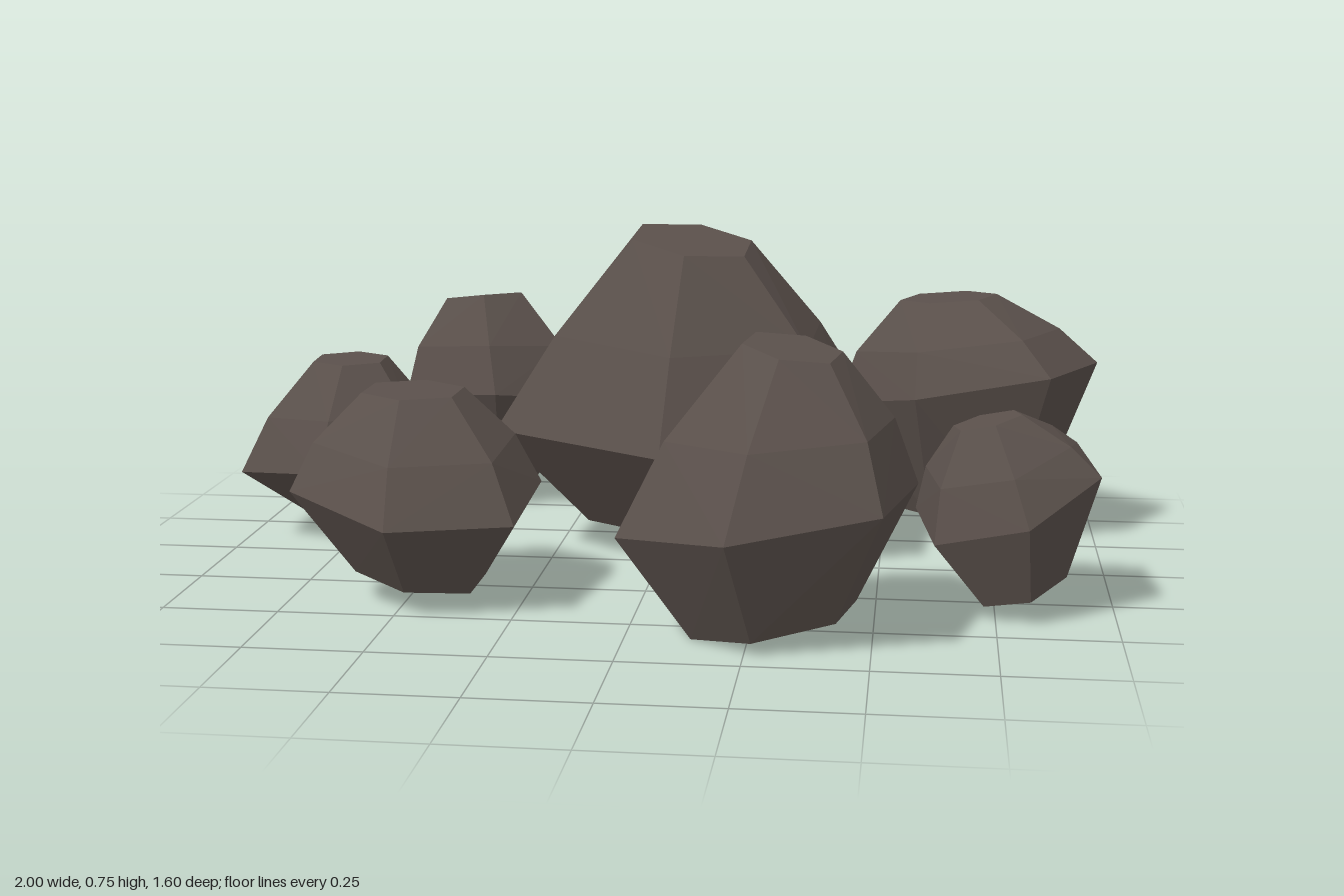
import * as THREE from 'three';
import { ConvexGeometry } from 'three/addons/geometries/ConvexGeometry.js';

// A tilted six-sided ring, spanned by two neighbouring corners a and b
function ring([x, y, z], scale, [ax, az], [bx, bz], [slopeX, slopeZ]) {
  const half = [[ax, az], [bx, bz], [bx - ax, bz - az]];
  return [...half, ...half.map(([dx, dz]) => [-dx, -dz])].map(([dx, dz]) => {
    const sx = dx * scale, sz = dz * scale;
    return new THREE.Vector3(x + sx, y + sx * slopeX + sz * slopeZ, z + sz);
  });
}

// centre: middle of the widest ring. a, b: two of its corners, from the centre
// top, base: middle of the upper and lower facets
// bulge: how far the shoulder ring swells outwards
function makeRock({ centre, a, b, tilt, top, topTilt, topScale = 0.37,
  base, baseTilt = tilt, baseScale, bulge = 1.14 }) {
  const middle = ring(centre, 1, a, b, tilt);
  const crown = ring(top, topScale, a, b, topTilt);
  const foot = ring(base, baseScale, a, b, baseTilt);
  // shoulder halfway between the widest ring and the upper facet
  const axisX = (centre[0] + top[0]) / 2, axisZ = (centre[2] + top[2]) / 2;
  const shoulder = middle.map((p, i) => {
    const q = p.clone().lerp(crown[i], 0.5);
    q.x = axisX + (q.x - axisX) * bulge;
    q.z = axisZ + (q.z - axisZ) * bulge;
    return q;
  });
  return new ConvexGeometry([...foot, ...middle, ...shoulder, ...crown]);
}

export function createModel() {
  const group = new THREE.Group();
  group.name = 'rockCluster';
  const stone = new THREE.MeshStandardMaterial({ color: 0x5a504b });
  stone.name = 'darkStone';

  const addRock = (name, shape) => {
    const mesh = new THREE.Mesh(makeRock(shape), stone);
    mesh.name = name;
    group.add(mesh);
  };

  // Large rock in the middle
  addRock('largeCentreRock', {
    centre: [0.045, 0.31, -0.167], a: [-0.4, -0.22], b: [0.02, -0.4], tilt: [0, -0.05],
    top: [0.06, 0.725, -0.13], topTilt: [-0.12, -0.18], topScale: 0.31,
    base: [0.045, 0.08, -0.16], baseScale: 0.52, bulge: 1.07,
  });

  // Front rocks
  addRock('frontLeftRock', {
    centre: [0.285, 0.26, 0.532], a: [-0.235, -0.18], b: [0.065, -0.265], tilt: [0.15, 0],
    top: [0.33, 0.59, 0.51], topTilt: [-0.15, -0.15], topScale: 0.33,
    base: [0.3, 0.034, 0.54], baseTilt: [0.2, 0], baseScale: 0.55,
  });
  addRock('frontRightRock', {
    centre: [-0.475, 0.25, 0.37], a: [-0.235, -0.14], b: [0.018, -0.23], tilt: [-0.08, -0.2],
    top: [-0.49, 0.45, 0.325], topTilt: [0, -0.05], topScale: 0.41,
    base: [-0.47, 0.06, 0.37], baseTilt: [-0.12, -0.1], baseScale: 0.52,
  });

  // Small rocks at the sides
  addRock('smallRightRock', {
    centre: [-0.785, 0.19, -0.17], a: [-0.215, -0.1], b: [0, -0.21], tilt: [0.1, 0],
    top: [-0.76, 0.425, -0.175], topTilt: [0, -0.05],
    base: [-0.74, 0.052, -0.18], baseTilt: [0.25, 0], baseScale: 0.38,
  });
  addRock('smallLeftRock', {
    centre: [0.77, 0.25, 0.278], a: [-0.19, -0.06], b: [-0.04, -0.19], tilt: [0.35, -0.25],
    top: [0.725, 0.405, 0.28], topTilt: [0.25, 0],
    base: [0.8, 0.07, 0.32], baseTilt: [0.3, -0.25], baseScale: 0.5,
  });

  // Back rocks
  addRock('backRightRock', {
    centre: [-0.49, 0.26, -0.58], a: [-0.24, -0.08], b: [-0.04, -0.22], tilt: [0, 0.22],
    top: [-0.52, 0.52, -0.59], topTilt: [0.1, 0.15], topScale: 0.42,
    base: [-0.48, 0.06, -0.56], baseScale: 0.42,
  });
  addRock('backLeftRock', {
    centre: [0.692, 0.36, -0.39], a: [-0.307, 0.005], b: [-0.187, -0.225], tilt: [0.18, 0.09],
    top: [0.645, 0.565, -0.4], topTilt: [0.08, 0],
    base: [0.685, 0.06, -0.4], baseTilt: [0.03, 0.03], baseScale: 0.6,
  });
  return group;
}
